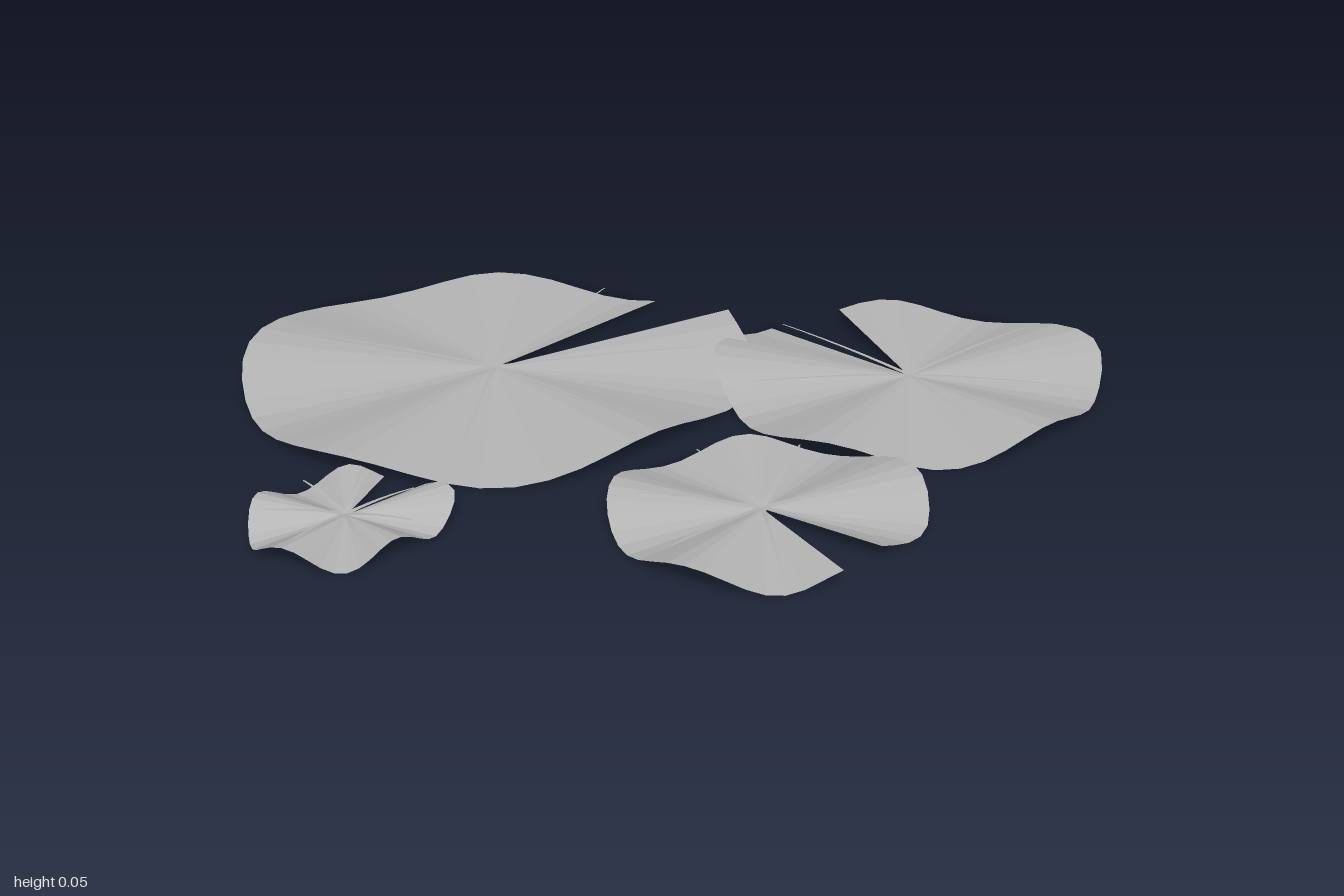
import * as THREE from 'three';

const BASE = 0.035;   // height of each pad's centre
const WAVE = 0.024;   // height of the rim ripples
const RIM_STEPS = 44;

const leafGrey = new THREE.MeshStandardMaterial({ color: 0xb4b4b4, side: THREE.DoubleSide });
leafGrey.name = 'leafGrey';

// Centre, the two notch sides and first vein (degrees), vein length,
// and rim radii at even angles from one notch side round to the other.
const pads = [
  { name: 'largePad', x: -0.43, z: -0.255, from: 42, to: 381, vein: 2.6, length: 0.48,
    radii: [0.55, 0.52, 0.51, 0.6, 0.595, 0.567, 0.56, 0.535, 0.54, 0.53, 0.61, 0.615] },
  { name: 'mediumPad', x: 0.52, z: -0.115, from: 128.5, to: 465, vein: 30.7, length: 0.37,
    radii: [0.434, 0.459, 0.428, 0.445, 0.417, 0.41, 0.4, 0.425, 0.48, 0.425, 0.393, 0.383] },
  { name: 'frontPad', x: 0.1, z: 0.46, from: -42, to: 294, vein: 12.5, length: 0.255,
    radii: [0.283, 0.335, 0.353, 0.322, 0.285, 0.284, 0.32, 0.317, 0.308, 0.305, 0.295, 0.295] },
  { name: 'smallPad', x: -0.74, z: 0.4, from: 67.6, to: 401.6, vein: 25, length: 0.15,
    radii: [0.184, 0.171, 0.178, 0.194, 0.196, 0.202, 0.189, 0.187, 0.178, 0.19, 0.223, 0.18] },
];

// Unindexed triangles keep every facet flat.
function facets(positions) {
  const geometry = new THREE.BufferGeometry();
  geometry.setAttribute('position', new THREE.Float32BufferAttribute(positions, 3));
  geometry.computeVertexNormals();
  return geometry;
}

// Fan from the centre to a smooth rim that ripples five times around the pad.
function leafGeometry({ radii, from, to }) {
  const outline = new THREE.CatmullRomCurve3(radii.map((r, i) => {
    const angle = THREE.MathUtils.degToRad(from + ((to - from) * i) / (radii.length - 1));
    return new THREE.Vector3(r * Math.cos(angle), 0, -r * Math.sin(angle));
  }), false, 'catmullrom');
  const rim = outline.getPoints(RIM_STEPS);
  for (const p of rim) p.y = WAVE * Math.sin(5 * Math.atan2(-p.z, p.x));
  const positions = [];
  for (let i = 0; i < RIM_STEPS; i++) {
    positions.push(0, 0, 0, ...rim[i].toArray(), ...rim[i + 1].toArray());
  }
  return facets(positions);
}

// Narrow tapering ribbon that arches up from the centre.
function veinGeometry(length) {
  const steps = 6;
  const row = (i) => {
    const t = i / steps;
    const y = 0.003 + 0.017 * t * (2 - t);
    const half = 0.006 * (1 - 0.7 * t);
    return [[length * t, y, half], [length * t, y, -half]];
  };
  const positions = [];
  for (let i = 0; i < steps; i++) {
    const [a, b] = row(i);
    const [c, d] = row(i + 1);
    positions.push(...a, ...c, ...b, ...b, ...c, ...d);
  }
  return facets(positions);
}

export function createModel() {
  const model = new THREE.Group();
  model.name = 'lilyPads';
  for (const spec of pads) {
    const pad = new THREE.Group();
    pad.name = spec.name;
    pad.position.set(spec.x, BASE, spec.z);

    const leaf = new THREE.Mesh(leafGeometry(spec), leafGrey);
    leaf.name = 'leaf';
    pad.add(leaf);

    // Seven evenly spread veins
    const ribbon = veinGeometry(spec.length);
    for (let i = 0; i < 7; i++) {
      const vein = new THREE.Mesh(ribbon, leafGrey);
      vein.name = 'vein';
      vein.rotation.y = THREE.MathUtils.degToRad(spec.vein) + (i * Math.PI * 2) / 7;
      pad.add(vein);
    }
    model.add(pad);
  }
  return model;
}
